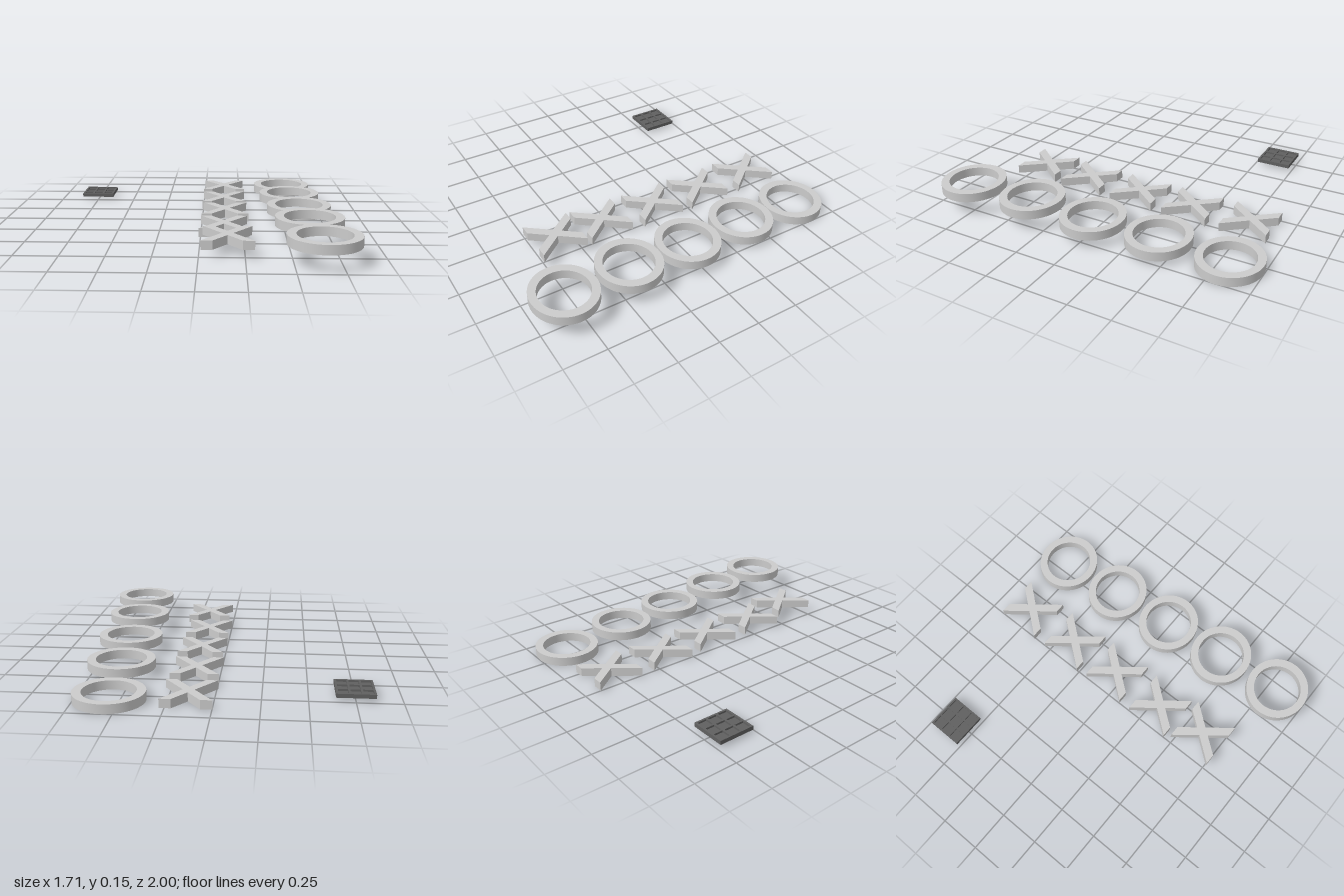
import * as THREE from 'three';
import { toCreasedNormals } from 'three/addons/utils/BufferGeometryUtils.js';

const grey = new THREE.MeshStandardMaterial({ color: 0xcccccc });
const dark = new THREE.MeshStandardMaterial({ color: 0x606060 });

// Extrude a flat outline upward from y = 0
function slab(shape, height, curveSegments = 12) {
  const g = new THREE.ExtrudeGeometry(shape, { depth: height, bevelEnabled: false, curveSegments });
  g.rotateX(-Math.PI / 2);
  return toCreasedNormals(g, 0.5);
}

function ringShape() {
  const s = new THREE.Shape().absellipse(0, 0, 0.1985, 0.1875, 0, Math.PI * 2, false);
  s.holes.push(new THREE.Path().absellipse(0, 0, 0.148, 0.143, 0, Math.PI * 2, true));
  return s;
}

// Cross with flat-cut arm ends: right half, then mirrored left half
function crossShape() {
  const h = 0.139;
  const right = [[0, -0.037], [0.081, -h], [0.145, -h], [0.032, 0.003], [0.14, h], [0.076, h], [0, 0.0434]];
  const left = right.slice(1, -1).reverse().map(([x, y]) => [-x, y]);
  return new THREE.Shape([...right, ...left].map(([x, y]) => new THREE.Vector2(x, y)));
}

// Square frame with a three by three set of cells
function gridShape(half, bar) {
  const r = half;
  const s = new THREE.Shape([[-r, -r], [r, -r], [r, r], [-r, r]].map(([x, y]) => new THREE.Vector2(x, y)));
  const cell = (2 * half - 4 * bar) / 3;
  for (let i = 0; i < 3; i++) for (let j = 0; j < 3; j++) {
    const x = -half + bar + i * (cell + bar), y = -half + bar + j * (cell + bar);
    s.holes.push(new THREE.Path([[x, y], [x, y + cell], [x + cell, y + cell], [x + cell, y]]
      .map(([a, b]) => new THREE.Vector2(a, b))));
  }
  return s;
}

function place(group, name, geometry, material, [x, y, z]) {
  const m = new THREE.Mesh(geometry, material);
  m.name = name;
  m.position.set(x, y, z);
  group.add(m);
}

export function createModel() {
  const model = new THREE.Group();
  model.name = 'noughtsAndCrosses';

  // Ring pieces, each a little higher towards the front
  const ring = slab(ringShape(), 0.054, 32);
  [[0.558, 0, -0.8125], [0.579, 0.034, -0.402], [0.606, 0.053, 0.003],
    [0.627, 0.084, 0.405], [0.658, 0.1, 0.8125]]
    .forEach((p, i) => place(model, 'ringPiece' + (i + 1), ring, grey, p));

  // Cross pieces
  const cross = slab(crossShape(), 0.052);
  [[0.137, 0.003, -0.766], [0.137, 0.005, -0.4], [0.143, 0.013, -0.051],
    [0.137, 0.021, 0.307], [0.156, 0.046, 0.621]]
    .forEach((p, i) => place(model, 'crossPiece' + (i + 1), cross, grey, p));

  // Playing board: base plate with raised grid
  const board = new THREE.Group();
  board.name = 'board';
  board.position.set(-0.751, 0.018, -0.624);
  place(board, 'boardBase', new THREE.BoxGeometry(0.214, 0.012, 0.214), dark, [0, 0.006, 0]);
  place(board, 'boardGrid', slab(gridShape(0.107, 0.012), 0.011), dark, [0, 0.012, 0]);
  model.add(board);

  return model;
}
